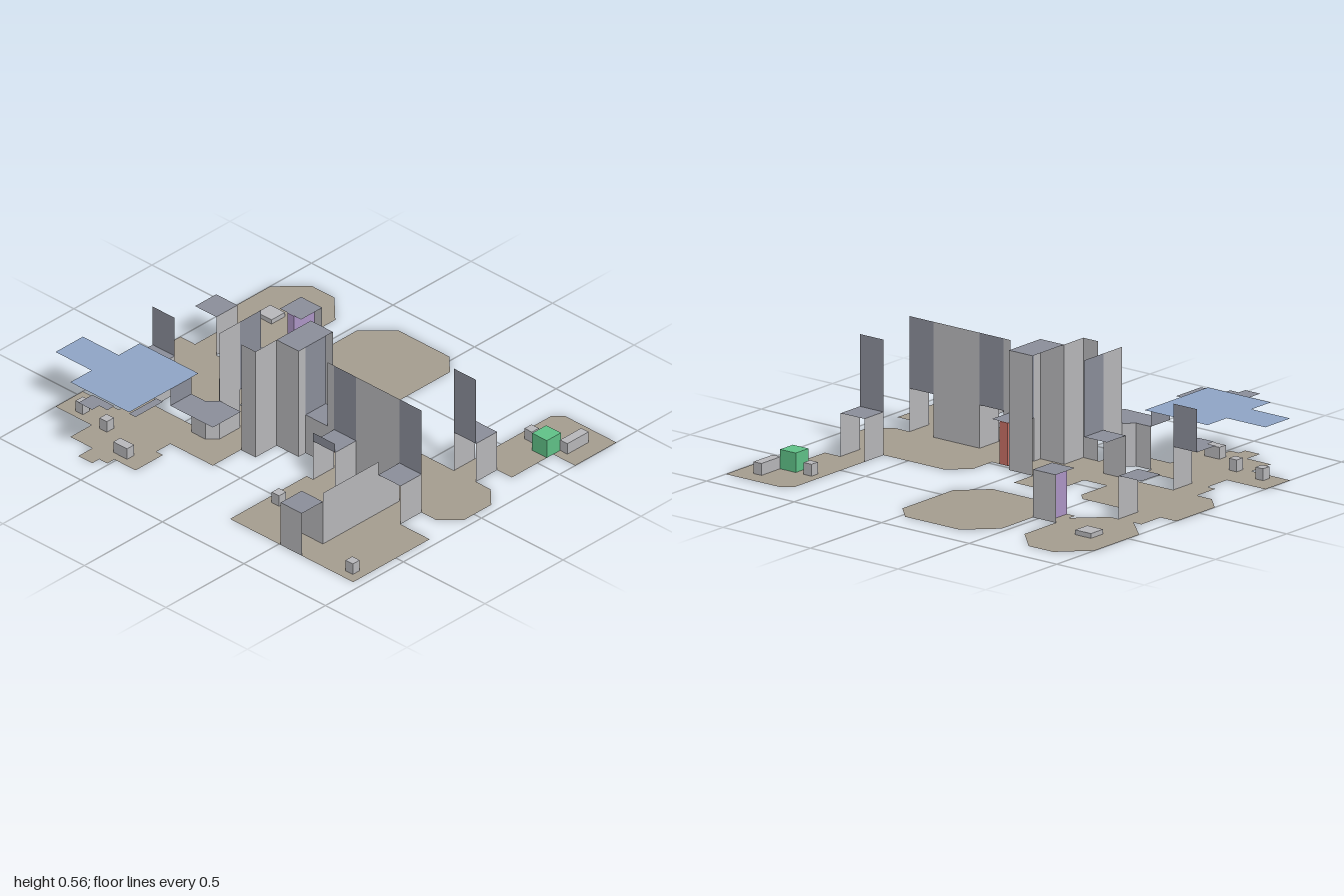
import * as THREE from 'three';

const mat = (name, color) => {
  const m = new THREE.MeshStandardMaterial({ color, side: THREE.DoubleSide });
  m.name = name;
  return m;
};

export function createModel() {
  const root = new THREE.Group();
  root.name = 'floorPlan';
  const floorMat = mat('tan floor', 0xa59d90);
  const wallMat = mat('light grey wall', 0xb8b8bb);
  const trimMat = mat('blue grey ceiling', 0x8b8e9a);
  const skyMat = mat('blue sky', 0x8fa5c6);
  const redMat = mat('red door', 0xc76f64);
  const purpleMat = mat('purple door', 0xae96c6);
  const greenMat = mat('green crate', 0x60c288);

  const add = (name, geometry, material) => {
    const mesh = new THREE.Mesh(geometry, material);
    mesh.name = name;
    root.add(mesh);
    return mesh;
  };
  // Flat horizontal polygon from [x, z] corners
  const slab = (name, pts, y, material) => {
    const shape = new THREE.Shape(pts.map(([x, z]) => new THREE.Vector2(x, -z)));
    const g = new THREE.ShapeGeometry(shape);
    g.rotateX(-Math.PI / 2);
    g.translate(0, y, 0);
    return add(name, g, material);
  };
  const rect = (x0, x1, z0, z1) => [[x0, z0], [x1, z0], [x1, z1], [x0, z1]];
  // Thin upright panel between two plan points
  const wall = (name, x0, z0, x1, z1, y0, y1, material = wallMat) => {
    const g = new THREE.PlaneGeometry(Math.hypot(x1 - x0, z1 - z0), y1 - y0);
    g.rotateY(-Math.atan2(z1 - z0, x1 - x0));
    g.translate((x0 + x1) / 2, (y0 + y1) / 2, (z0 + z1) / 2);
    return add(name, g, material);
  };
  const box = (name, x0, x1, z0, z1, h, material = wallMat) => {
    const g = new THREE.BoxGeometry(x1 - x0, h, z1 - z0);
    g.translate((x0 + x1) / 2, h / 2, (z0 + z1) / 2);
    return add(name, g, material);
  };

  // Room floors
  const rooms = {
    smallOctagonFloor: [[-0.87, -0.865], [-0.73, -0.865], [-0.6, -0.735], [-0.6, -0.42],
      [-0.73, -0.295], [-0.865, -0.295], [-1, -0.42], [-1, -0.735]],
    largeOctagonFloor: [[-0.335, -0.865], [-0.025, -0.865], [0.065, -0.775], [0.065, -0.42],
      [-0.06, -0.295], [-0.335, -0.295], [-0.47, -0.43], [-0.47, -0.735]],
    sideRoomFloor: [[-1, -0.16], [-0.465, -0.16], [-0.42, -0.115], [-0.42, 0.2], [-0.91, 0.2], [-1, 0.11]],
    middleRoomFloor: rect(-0.29, -0.07, -0.16, 0.33),
    hallFloor: [[0.29, -0.2], [0.865, -0.2], [0.955, -0.11], [0.955, 0.065], [0.865, 0.15], [0.2, 0.15], [0.2, -0.11]],
    backRoomFloor: [[0.685, -0.865], [1, -0.865], [1, -0.6], [0.865, -0.6], [0.865, -0.335], [0.64, -0.335], [0.64, -0.82]],
    frontRoomFloor: [[0.2, 0.285], [0.465, 0.285], [0.51, 0.33], [0.51, 0.775], [0.2, 0.775]],
    cornerRoomFloor: rect(0.64, 0.955, 0.285, 0.775),
  };
  for (const [name, pts] of Object.entries(rooms)) slab(name, pts, 0, floorMat);

  // Open court: blue sky above a matching floor, with small alcoves
  const court = [[-0.78, 0.33], [-0.42, 0.33], [-0.42, 0.775], [-0.78, 0.775],
    [-0.78, 0.64], [-1, 0.64], [-1, 0.465], [-0.78, 0.465]];
  slab('courtFloor', court, 0, floorMat);
  slab('courtSky', court, 0.287, skyMat);
  const alcoves = [
    rect(-0.42, -0.38, 0.6, 0.775),
    [[-0.645, 0.775], [-0.51, 0.775], [-0.51, 0.82], [-0.56, 0.82], [-0.56, 0.865], [-0.645, 0.865]],
  ];
  for (const pts of alcoves) {
    slab('alcoveFloor', pts, 0, floorMat);
    slab('alcoveCeiling', pts, 0.28, trimMat);
  }

  // Corridors: floor and ceiling outline, ceiling height
  const corridors = [
    [rect(-0.6, -0.47, -0.515, -0.38), 0.222],
    [rect(-0.91, -0.78, -0.295, -0.16), 0.2],
    [rect(-0.42, -0.29, 0.065, 0.2), 0.2],
    [rect(-0.07, 0.065, -0.025, 0.195), 0.555],
    [rect(0.065, 0.2, 0.02, 0.15), 0.2],
    [rect(0.64, 0.775, -0.335, -0.2), 0.2],
    [rect(0.24, 0.375, 0.15, 0.285), 0.2],
    [rect(0.64, 0.775, 0.15, 0.285), 0.2],
    [rect(0.51, 0.64, 0.64, 0.775), 0.222],
    [rect(-0.825, -0.69, 0.2, 0.33), 0.2],
    [rect(-0.78, -0.69, 0.33, 0.375), 0.2],
    [[[-0.42, 0.375], [-0.335, 0.375], [-0.29, 0.33], [-0.16, 0.33], [-0.16, 0.51], [-0.42, 0.51]], 0.2],
  ];
  for (const [pts, h] of corridors) {
    slab('corridorFloor', pts, 0, floorMat);
    slab('corridorCeiling', pts, h, trimMat);
  }

  // Corridor side walls: x0, z0, x1, z1, height
  const sides = [
    [-0.6, -0.515, -0.47, -0.515, 0.222],
    [-0.78, -0.295, -0.78, -0.16, 0.2],
    [-0.42, 0.2, -0.29, 0.2, 0.2],
    [0.065, 0.15, 0.2, 0.15, 0.2],
    [0.64, -0.335, 0.64, -0.2, 0.2], [0.775, -0.335, 0.775, -0.2, 0.2],
    [0.24, 0.15, 0.24, 0.285, 0.2], [0.375, 0.15, 0.375, 0.285, 0.2],
    [0.64, 0.15, 0.64, 0.285, 0.2], [0.775, 0.15, 0.775, 0.285, 0.2],
    [0.51, 0.64, 0.64, 0.64, 0.222], [0.51, 0.775, 0.64, 0.775, 0.222],
    [-0.69, 0.2, -0.69, 0.33, 0.2],
    [-0.42, 0.375, -0.335, 0.375, 0.2], [-0.335, 0.375, -0.29, 0.33, 0.2],
  ];
  for (const [x0, z0, x1, z1, h] of sides) wall('corridorWall', x0, z0, x1, z1, 0, h);

  // Full height room walls
  const tall = [
    [0.2, 0.15, 0.24, 0.15, 0.535], [0.375, 0.15, 0.64, 0.15, 0.535],
    [-0.155, 0.33, -0.07, 0.33, 0.555], [-0.07, 0.195, -0.07, 0.33, 0.555],
    [-0.07, 0.195, 0.065, 0.195, 0.555], [-0.07, -0.025, 0.065, -0.025, 0.555],
    [0.065, 0.15, 0.065, 0.195, 0.555],
    [-0.29, 0.2, -0.29, 0.33, 0.555],
    [0.64, 0.285, 0.64, 0.64, 0.267],
  ];
  for (const [x0, z0, x1, z1, h] of tall) wall('roomWall', x0, z0, x1, z1, 0, h);

  // Panels above the doorways
  const lintels = [
    [0.24, 0.15, 0.375, 0.15, 0.535], [0.64, 0.15, 0.775, 0.15, 0.535],
    [0.64, -0.2, 0.775, -0.2, 0.535],
    [0.24, 0.285, 0.375, 0.285, 0.245],
    [0.065, 0.02, 0.065, 0.15, 0.555],
    [-0.29, 0.065, -0.29, 0.2, 0.555],
    [-0.825, 0.2, -0.69, 0.2, 0.4],
    [-0.42, 0.375, -0.42, 0.51, 0.287],
  ];
  for (const [x0, z0, x1, z1, h] of lintels) wall('doorLintel', x0, z0, x1, z1, 0.2, h, trimMat);

  // Doors inside corridors
  box('redDoor', 0.11, 0.155, 0.02, 0.148, 0.198, redMat);
  box('purpleDoor', -0.555, -0.515, -0.513, -0.38, 0.22, purpleMat);

  // Loose crates
  box('greenCrate', 0.775, 0.865, -0.65, -0.56, 0.09, greenMat);
  const crates = [
    [-0.87, -0.78, -0.6, -0.515, 0.022],
    [0.865, 0.91, -0.78, -0.645, 0.055], [0.685, 0.73, -0.65, -0.605, 0.055],
    [0.24, 0.285, 0.505, 0.55, 0.055], [0.865, 0.91, 0.687, 0.73, 0.055],
    [-0.91, -0.867, 0.56, 0.605, 0.055], [-0.735, -0.69, 0.59, 0.635, 0.055],
    [-0.555, -0.47, 0.69, 0.735, 0.055],
  ];
  for (const c of crates) box('crate', ...c);

  return root;
}
